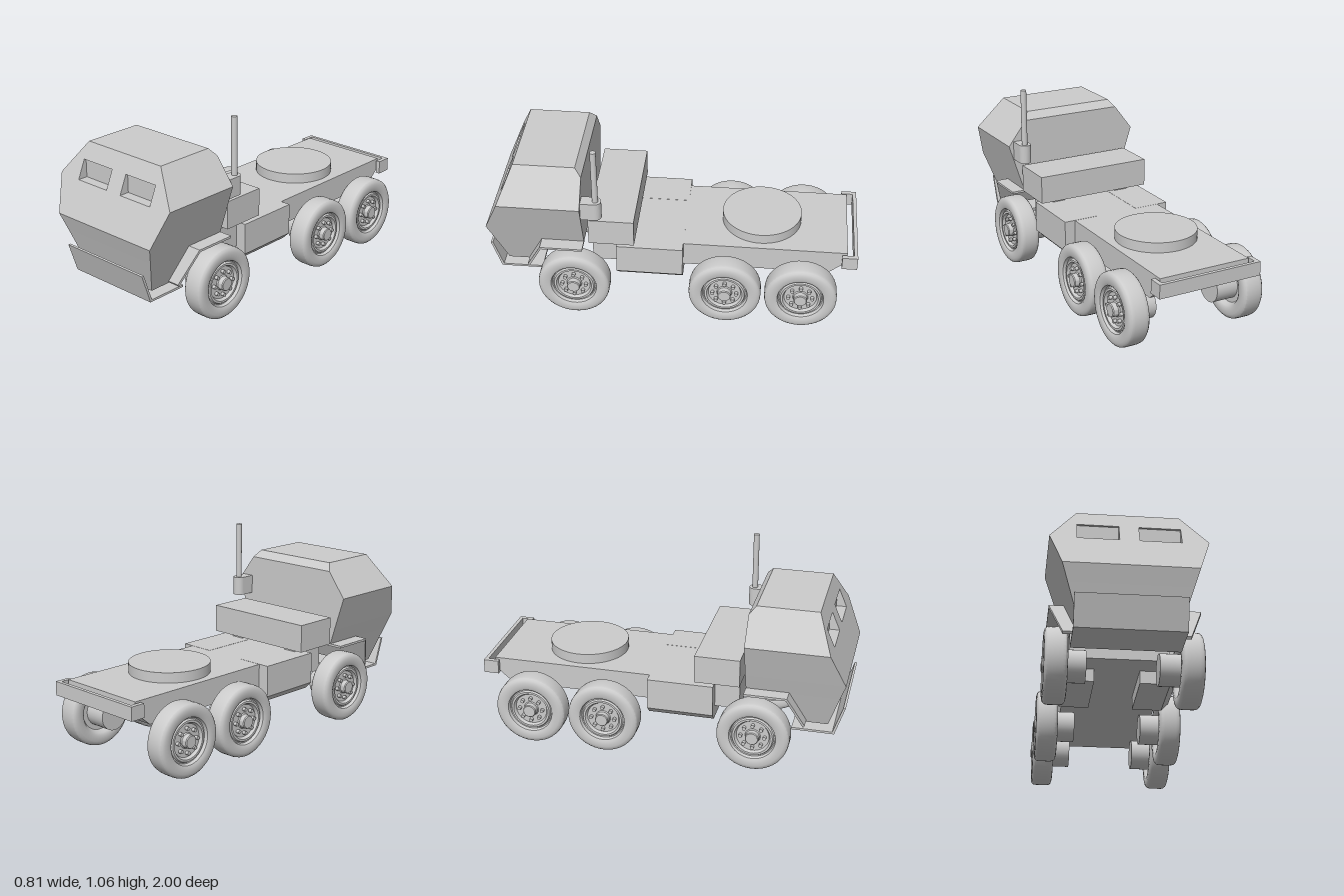
import * as THREE from 'three';
import { toCreasedNormals, mergeGeometries } from 'three/addons/utils/BufferGeometryUtils.js';

const material = new THREE.MeshStandardMaterial({ color: 0xcccccc });
const thin = new THREE.MeshStandardMaterial({ color: 0xcccccc, side: THREE.DoubleSide });

function add(parent, name, geometry, mat = material) {
  const mesh = new THREE.Mesh(geometry, mat);
  mesh.name = name;
  parent.add(mesh);
  return mesh;
}

// Box given by its limits
function box(x0, x1, y0, y1, z0, z1) {
  return new THREE.BoxGeometry(x1 - x0, y1 - y0, z1 - z0)
    .translate((x0 + x1) / 2, (y0 + y1) / 2, (z0 + z1) / 2);
}

const shape = (points) => new THREE.Shape(points.map(([a, b]) => new THREE.Vector2(a, b)));

// Side profile in (z, y), extruded across x
function extrudeX(points, x0, x1) {
  return new THREE.ExtrudeGeometry(shape(points), { depth: x1 - x0, bevelEnabled: false })
    .rotateY(-Math.PI / 2).translate(x1, 0, 0);
}

// Flat shaded skin over rings of four corners, with end caps
function loft(rings, skip = () => false) {
  const index = [];
  const quad = (a, b, c, d) => index.push(a, b, c, a, c, d);
  for (let i = 0; i < rings.length - 1; i++) {
    for (let j = 0; j < 4; j++) {
      const k = (j + 1) % 4;
      if (!skip(i, j)) quad(i * 4 + j, i * 4 + k, i * 4 + 4 + k, i * 4 + 4 + j);
    }
  }
  const n = (rings.length - 1) * 4;
  quad(3, 2, 1, 0);
  quad(n, n + 1, n + 2, n + 3);
  const g = new THREE.BufferGeometry();
  g.setAttribute('position', new THREE.Float32BufferAttribute(rings.flat(2), 3));
  g.setIndex(index);
  const flat = g.toNonIndexed();
  flat.computeVertexNormals();
  return flat;
}

// Depth of the sloping windscreen at a height
const screenZ = (y) => 1 - 0.16 * (y - 0.53) / 0.37;

function lean(geometry, applies = () => true) {
  const p = geometry.attributes.position;
  for (let i = 0; i < p.count; i++) if (applies(p.getZ(i))) p.setZ(i, screenZ(p.getY(i)));
  geometry.computeVertexNormals();
  return geometry;
}

function buildCab() {
  const cab = new THREE.Group();
  cab.name = 'cab';
  // height, half width, front z, back z
  const levels = [
    [0.25, 0.245, 0.91, 0.79], [0.44, 0.306, 0.97, 0.70], [0.44, 0.306, 0.97, 0.475],
    [0.53, 0.335, 1, 0.475], [0.72, 0.396, screenZ(0.72), 0.475],
    [0.86, 0.29, screenZ(0.86), 0.475], [0.9, 0.26, 0.84, 0.51],
  ];
  const rings = levels.map(([y, w, f, b]) => [[w, y, f], [w, y, b], [-w, y, b], [-w, y, f]]);
  add(cab, 'cabShell', loft(rings, (i, j) => j === 3 && i >= 3));

  // Windscreen panel with two recessed windows
  const panel = shape([[-0.335, 0.53], [0.335, 0.53], [0.396, 0.72], [0.26, 0.9], [-0.26, 0.9], [-0.396, 0.72]]);
  for (const [x0, x1] of [[0.05, 0.26], [-0.26, -0.05]]) {
    panel.holes.push(new THREE.Path([[x0, 0.712], [x0, 0.812], [x1, 0.812], [x1, 0.712]]
      .map(([x, y]) => new THREE.Vector2(x, y))));
    const recess = box(x0, x1, 0.712, 0.812, 0.866, 0.9);
    const faces = Array.from(recess.index.array);
    faces.splice(24, 6); // open at the front
    recess.setIndex(faces);
    recess.clearGroups();
    add(cab, 'windowRecess', lean(recess, (z) => z > 0.88), thin);
  }
  add(cab, 'windscreenPanel', lean(new THREE.ShapeGeometry(panel)));
  return cab;
}

// Tyre, rim and hub as one turned profile (radius, distance along the axle)
function wheelGeometry() {
  const profile = [
    [0, -0.03], [0.11, -0.03], [0.125, -0.052], [0.14, -0.06], [0.17, -0.059], [0.184, -0.055], [0.193, -0.046],
    [0.196, -0.03], [0.196, 0.03], [0.193, 0.046], [0.184, 0.055], [0.17, 0.059], [0.14, 0.06], [0.126, 0.053],
    [0.12, 0.036], [0.114, 0.036], [0.108, 0.046], [0.097, 0.046], [0.088, 0.03], [0.042, 0.03],
    [0.037, 0.036], [0.036, 0.062], [0.032, 0.067], [0, 0.067],
  ].map(([r, a]) => new THREE.Vector2(r, a));
  const parts = [toCreasedNormals(new THREE.LatheGeometry(profile, 48), 0.6)];
  for (let i = 0; i < 8; i++) {
    const a = i * Math.PI / 4;
    parts.push(new THREE.CylinderGeometry(0.01, 0.01, 0.022, 10)
      .translate(0.065 * Math.cos(a), 0.038, 0.065 * Math.sin(a)).toNonIndexed());
  }
  // Axle stub on the inner side
  parts.push(new THREE.CylinderGeometry(0.084, 0.084, 0.125, 32).translate(0, -0.0925, 0).toNonIndexed());
  return mergeGeometries(parts).rotateZ(-Math.PI / 2);
}

export function createModel() {
  const truck = new THREE.Group();
  truck.name = 'truck';
  truck.add(buildCab());

  // Chassis with upswept tail
  add(truck, 'chassis', extrudeX([[0.435, 0.29], [0.435, 0.43], [-0.945, 0.43], [-0.945, 0.37], [-0.85, 0.29]], -0.26, 0.26));

  // Bent plate under the nose
  add(truck, 'frontBumper', extrudeX(
    [[1, 0.37], [0.948, 0.21], [0.72, 0.21], [0.72, 0.222], [0.938, 0.222], [0.988, 0.372]], -0.275, 0.275));

  // Rear bumper bar with side returns
  const rear = new THREE.Group();
  rear.name = 'rearBumper';
  truck.add(rear);
  add(rear, 'rearBar', box(-0.295, 0.295, 0.35, 0.425, -1, -0.98));
  for (const s of [-1, 1]) add(rear, 'rearReturn', box(s * 0.283 - 0.012, s * 0.283 + 0.012, 0.35, 0.425, -0.98, -0.917));

  // Turntable on the rear deck
  add(truck, 'turntable', new THREE.CylinderGeometry(0.217, 0.217, 0.055, 64).translate(0, 0.4575, -0.475));

  // Wide equipment box behind the cab, on two feet
  add(truck, 'equipmentBox', box(-0.33, 0.33, 0.455, 0.608, 0.2, 0.445));
  for (const s of [-1, 1]) add(truck, 'equipmentFoot', box(s * 0.2 - 0.04, s * 0.2 + 0.04, 0.42, 0.46, 0.25, 0.3));

  // Exhaust stack and its rounded bracket
  const bracket = shape([[0.3, -0.475], [0.368, -0.475], [0.368, -0.4]]);
  bracket.absarc(0.334, -0.4, 0.034, 0, Math.PI, false);
  add(truck, 'exhaustBracket', new THREE.ExtrudeGeometry(bracket, { depth: 0.104, bevelEnabled: false, curveSegments: 16 })
    .rotateX(-Math.PI / 2).translate(0, 0.642, 0));
  add(truck, 'exhaustStack', new THREE.CylinderGeometry(0.016, 0.016, 0.36, 24).translate(0.335, 0.88, 0.398));

  // Parts repeated on both sides
  const wheel = wheelGeometry();
  const sideBox = new THREE.ExtrudeGeometry(
    shape([[0.12, 0.22], [0.28, 0.22], [0.32, 0.26], [0.32, 0.431], [0.12, 0.431]]),
    { depth: 0.36, bevelEnabled: false }).translate(0, 0, -0.06);
  const fenderRing = (inner, outer, y, z, dz) => [
    [outer, y - 0.012, z - dz], [inner, y - 0.012, z - dz], [inner, y, z], [outer, y, z]];
  const fender = loft([
    fenderRing(0.235, 0.315, 0.262, 0.795, 0.008), fenderRing(0.285, 0.382, 0.445, 0.705, 0.006),
    fenderRing(0.285, 0.382, 0.445, 0.475, 0)]);
  for (const [s, side] of [[1, 'left'], [-1, 'right']]) {
    const group = new THREE.Group();
    group.name = side + 'Side';
    group.scale.x = s;
    truck.add(group);
    add(group, side + 'SideBox', sideBox);
    add(group, side + 'Fender', fender, thin);
    ['Front', 'Middle', 'Rear'].forEach((place, i) =>
      add(group, side + place + 'Wheel', wheel).position.set(0.339, 0.196, [0.53, -0.295, -0.707][i]));
  }
  return truck;
}
